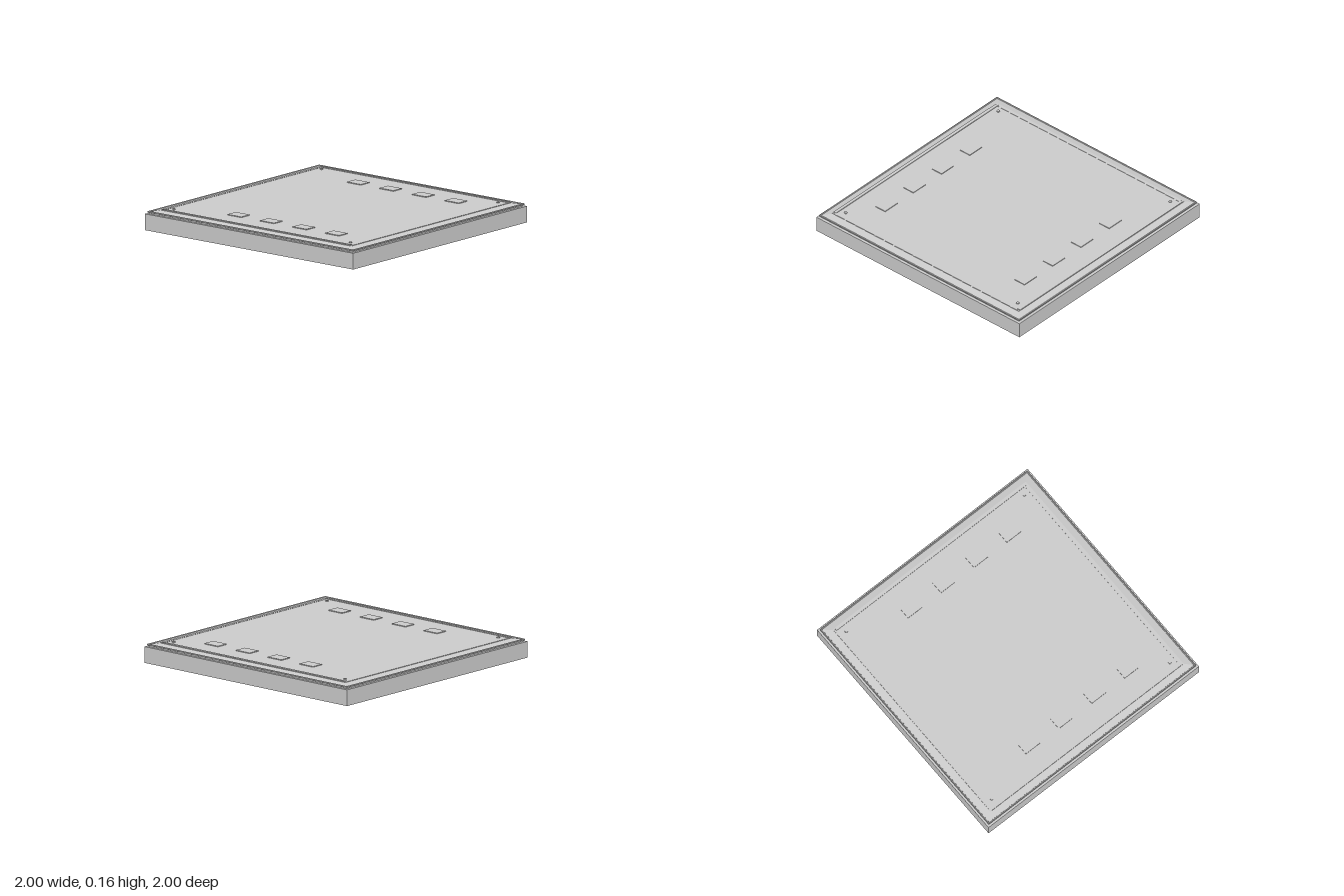
import * as THREE from 'three';

const material = new THREE.MeshStandardMaterial({ color: 0xcccccc, flatShading: true });

export function createModel() {
  const model = new THREE.Group();
  const add = (name, geometry, x, y, z) => {
    const mesh = new THREE.Mesh(geometry, material);
    mesh.name = name;
    mesh.position.set(x, y, z);
    model.add(mesh);
    return mesh;
  };
  // Box given by its bottom and top heights
  const slab = (name, w, d, y0, y1, x = 0, z = 0) =>
    add(name, new THREE.BoxGeometry(w, y1 - y0, d), x, (y0 + y1) / 2, z);

  // Square block whose top is smaller than its bottom
  const frustum = (name, half0, half1, y0, y1) => {
    const g = new THREE.CylinderGeometry(half1 * Math.SQRT2, half0 * Math.SQRT2, y1 - y0, 4);
    g.rotateY(Math.PI / 4);
    return add(name, g, 0, (y0 + y1) / 2, 0);
  };

  slab('base', 2, 2, 0, 0.123);
  slab('lidSeat', 1.955, 1.955, 0.12, 0.138);
  frustum('lidBevel', 0.98, 0.92, 0.138, 0.15);
  slab('topPanel', 1.84, 1.83, 0.148, 0.152);

  // Thin round seal along each edge, and raised trim strips inside it
  for (const s of [-1, 1]) {
    const seal = (name, x, z, alongX) => {
      const g = new THREE.CylinderGeometry(0.007, 0.007, 1.97, 8);
      if (alongX) g.rotateZ(Math.PI / 2); else g.rotateX(Math.PI / 2);
      add(name, g, x, 0.138, z);
    };
    seal('sideSeal', s * 0.98, 0, false);
    seal('endSeal', 0, s * 0.98, true);
    slab('sideTrim', 0.025, 1.8, 0.15, 0.157, s * 0.908);
    slab('endTrim', 1.8, 0.025, 0.15, 0.154, 0, s * 0.902);

    // Column of contact pads
    for (let i = 0; i < 4; i++)
      slab('pad', 0.097, 0.134, 0.15, 0.158, s * 0.687, -0.362 + i * 0.313);

    // Corner screws
    for (const t of [-1, 1])
      add('screw', new THREE.CylinderGeometry(0.012, 0.012, 0.008, 12), s * 0.848, 0.155, t * 0.846);
  }
  return model;
}
